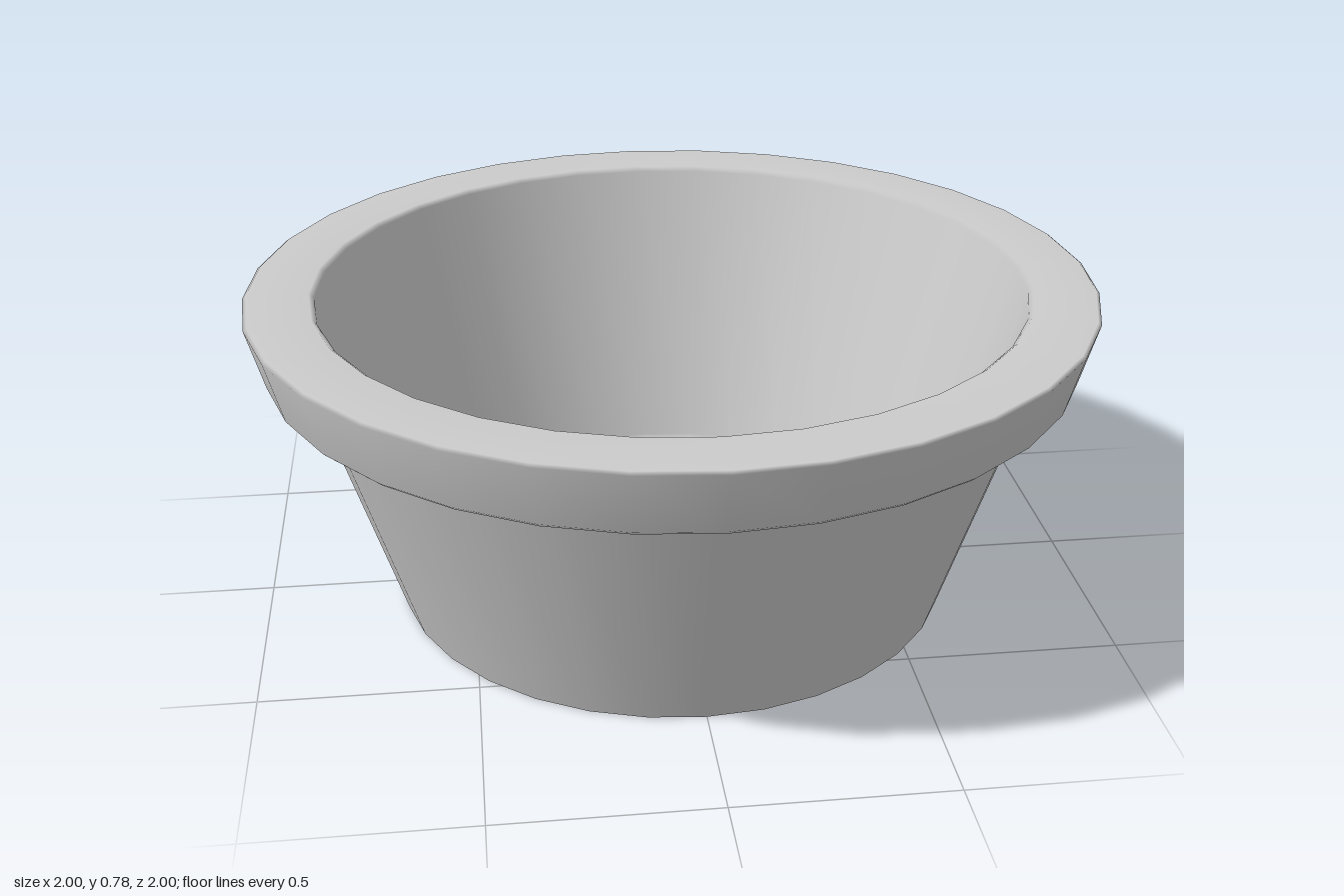
import * as THREE from 'three';

const SIDES = 32;

// Revolve a [radius, height] profile; going up the outside faces outward
function revolve(name, profile, material) {
  const points = profile.map(([r, y]) => new THREE.Vector2(r, y));
  const mesh = new THREE.Mesh(new THREE.LatheGeometry(points, SIDES), material);
  mesh.name = name;
  return mesh;
}

export function createModel() {
  const group = new THREE.Group();
  group.name = 'bowl';
  const material = new THREE.MeshStandardMaterial({ color: 0xcccccc });

  group.add(
    // Flat underside
    revolve('base', [[0, 0], [0.675, 0]], material),

    // Tapered outer wall
    revolve('outerWall', [[0.675, 0], [0.87, 0.622]], material),

    // Underside of the overhanging lip
    revolve('lipUnderside', [[0.87, 0.622], [0.95, 0.622]], material),

    // Flared, softened lip running smoothly into the inner wall and floor
    revolve('lipAndInterior', [
      [0.95, 0.622], [0.961, 0.632], [1, 0.776], [0.992, 0.782],
      [0.848, 0.782], [0.836, 0.772],
      [0.633, 0.06], [0.62, 0.05], [0, 0.05],
    ], material),
  );
  return group;
}
